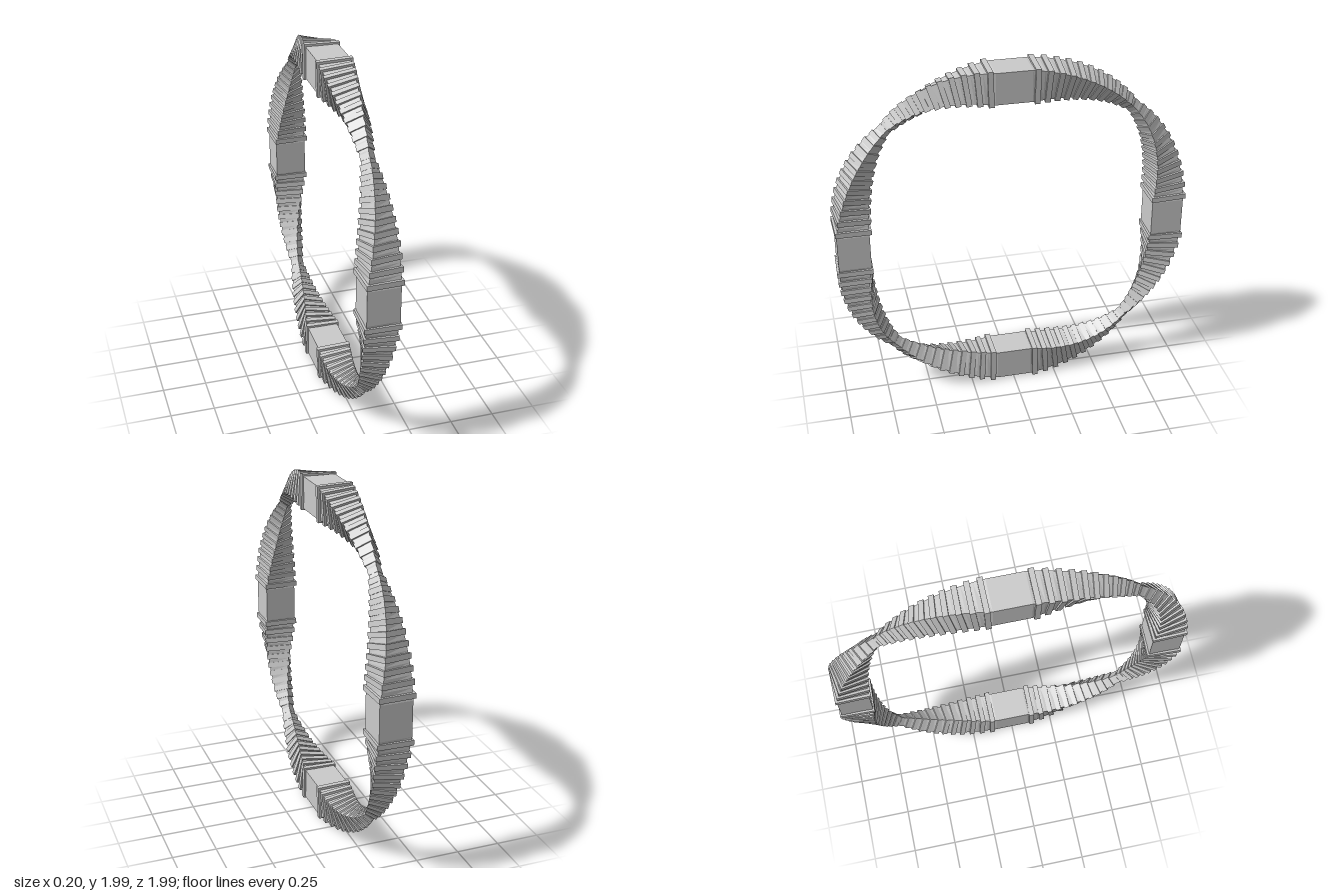
import * as THREE from 'three';

const RING = 0.895;   // distance of the band centre from the ring axis
const CORE = 0.09;    // half width of the square core
const RIB = 0.102;    // half width of the square ribs
const FLAT = 0.1;     // half length of the straight blocks
const RIBS = 23;      // ribs in each quarter

const material = new THREE.MeshStandardMaterial({ color: 0xcccccc, flatShading: true });

// Centre line of one quarter, from the top block to the front block
const path = new THREE.CubicBezierCurve3(
  new THREE.Vector3(0, RING, FLAT),
  new THREE.Vector3(0, RING, FLAT + 0.5),
  new THREE.Vector3(0, FLAT + 0.5, RING),
  new THREE.Vector3(0, FLAT, RING)
);

// Square section at t: makes a quarter turn and pinches in the middle
function frameAt(t) {
  const tangent = path.getTangent(t);
  const outward = new THREE.Vector3(0, tangent.z, -tangent.y);
  const side = new THREE.Vector3(1, 0, 0);
  const twist = (t * Math.PI) / 2;
  const matrix = new THREE.Matrix4()
    .makeBasis(side, outward, tangent)
    .multiply(new THREE.Matrix4().makeRotationZ(twist))
    .setPosition(path.getPoint(t));
  const size = 1 - 1.46 * Math.min(t, 1 - t);
  return { matrix, size };
}

// Twisted core lofted through square sections
function coreGeometry(steps = 48) {
  const corners = [[1, 1], [-1, 1], [-1, -1], [1, -1]];
  const positions = [];
  const index = [];
  for (let i = 0; i <= steps; i++) {
    const { matrix, size } = frameAt(i / steps);
    for (const [x, y] of corners) {
      const p = new THREE.Vector3(x * CORE * size, y * CORE * size, 0).applyMatrix4(matrix);
      positions.push(p.x, p.y, p.z);
    }
  }
  for (let i = 0; i < steps; i++) {
    for (let j = 0; j < 4; j++) {
      const a = i * 4 + j;
      const b = i * 4 + ((j + 1) % 4);
      index.push(a, b, b + 4, a, b + 4, a + 4);
    }
  }
  const geometry = new THREE.BufferGeometry();
  geometry.setAttribute('position', new THREE.Float32BufferAttribute(positions, 3));
  geometry.setIndex(index);
  const flat = geometry.toNonIndexed();
  flat.computeVertexNormals();
  return flat;
}

export function createModel() {
  const group = new THREE.Group();
  group.name = 'twistedBangle';

  const blockGeometry = new THREE.BoxGeometry(2 * CORE, 2 * CORE, 2 * FLAT);
  const core = coreGeometry();

  for (let q = 0; q < 4; q++) {
    const quarter = new THREE.Group();
    quarter.name = 'quarter';

    // Plain square block
    const block = new THREE.Mesh(blockGeometry, material);
    block.name = 'plainBlock';
    block.position.y = RING;
    quarter.add(block);

    const band = new THREE.Mesh(core, material);
    band.name = 'twistedCore';
    quarter.add(band);

    // Square ribs following the twist
    for (let i = 0; i < RIBS; i++) {
      const { matrix, size } = frameAt((i + 0.4) / (RIBS - 0.2));
      const rib = new THREE.Mesh(
        new THREE.BoxGeometry(2 * RIB * size, 2 * RIB * size, 0.03).applyMatrix4(matrix),
        material
      );
      rib.name = 'rib';
      quarter.add(rib);
    }

    quarter.rotation.x = (q * Math.PI) / 2;
    quarter.position.y = 1;
    group.add(quarter);
  }
  return group;
}
